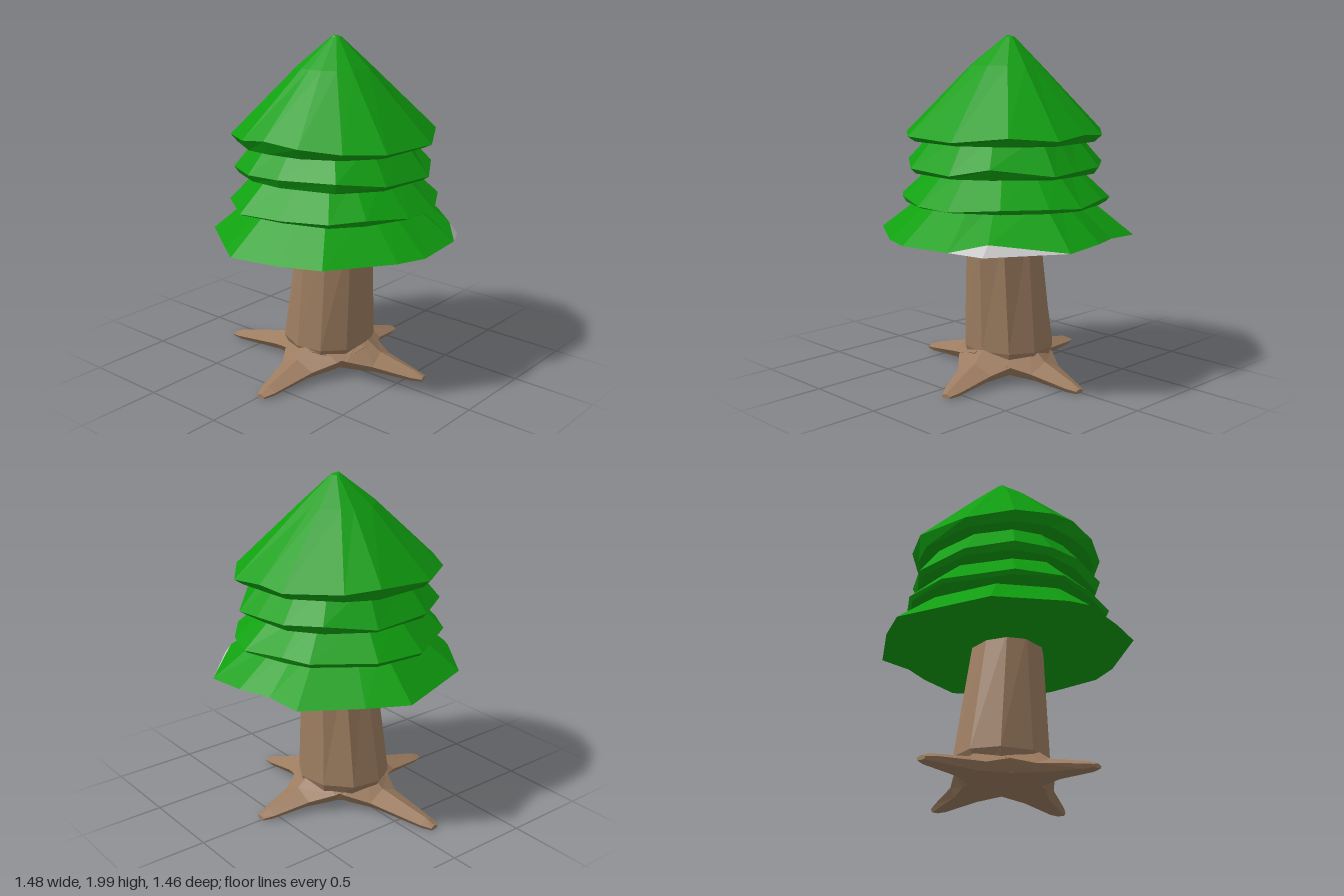
import * as THREE from 'three';

const material = (color) => new THREE.MeshStandardMaterial({ color, flatShading: true });
const green = material(0x10a010), brown = material(0x9c7c60), grey = material(0xcccccc);
grey.side = THREE.DoubleSide;

function facets(name, triangles, mat) {
  const geometry = new THREE.BufferGeometry();
  geometry.setAttribute('position', new THREE.Float32BufferAttribute(triangles.flat(), 3));
  geometry.computeVertexNormals();
  const mesh = new THREE.Mesh(geometry, mat);
  mesh.name = name;
  return mesh;
}

// Skin a stack of rings (equal point counts) and close both ends
function loft(name, rings, mat) {
  const tris = [], n = rings[0].length;
  const middle = (ring) => [0, 1, 2].map((k) => ring.reduce((s, p) => s + p[k], 0) / n);
  const first = rings[0], last = rings[rings.length - 1];
  const start = middle(first), end = middle(last);
  for (let i = 0; i < n; i++) {
    const j = (i + 1) % n;
    for (let r = 0; r + 1 < rings.length; r++) {
      const a = rings[r], b = rings[r + 1];
      tris.push(a[i], b[i], a[j], b[i], b[j], a[j]);
    }
    tris.push(start, first[i], first[j], end, last[j], last[i]);
  }
  return facets(name, tris, mat);
}

// Copy of a ring, shrunk towards the trunk axis at a given height
const shrink = (ring, s, y, dx = 0) => ring.map(([x, , z]) => [x * s + dx, y, z * s]);

// Rim outlines as [x, y, z], running from +x round through +z
const rim1 = [[.72, .88, 0], [.735, .865, .25], [.42, .91, .55], [.26, .865, .69], [-.07, .86, .725],
  [-.25, .865, .67], [-.6, .87, .44], [-.68, .86, .2], [-.74, .858, -.1], [-.68, .87, -.2],
  [-.44, .865, -.54], [.1, .865, -.73], [.33, .87, -.62], [.63, .865, -.41], [.65, .875, -.19]];
const rim2 = [[.64, 1.07, .06], [.58, 1.08, .25], [.42, 1.08, .46], [.17, 1.06, .61], [-.07, 1.065, .61],
  [-.32, 1.09, .51], [-.48, 1.08, .38], [-.57, 1.07, .12], [-.61, 1.065, -.15], [-.46, 1.08, -.38],
  [-.1, 1.075, -.59], [.2, 1.08, -.57], [.5, 1.08, -.35], [.57, 1.09, -.2]];
const rim3 = [[.57, 1.26, .03], [.575, 1.25, .2], [.34, 1.29, .46], [.15, 1.25, .58], [-.2, 1.26, .55],
  [-.42, 1.29, .38], [-.53, 1.28, .06], [-.53, 1.27, -.16], [-.44, 1.27, -.36],
  [-.2, 1.26, -.51], [.17, 1.25, -.53], [.42, 1.28, -.37], [.55, 1.27, -.19]];
const rim4 = [[.58, 1.46, -.02], [.6, 1.44, .2], [.44, 1.46, .42], [.17, 1.43, .58], [-.21, 1.44, .56],
  [-.4, 1.45, .41], [-.52, 1.47, .2], [-.56, 1.49, -.01], [-.56, 1.47, -.17], [-.45, 1.46, -.37],
  [-.21, 1.45, -.52], [.16, 1.48, -.54], [.34, 1.46, -.45], [.56, 1.45, -.2]];

// Trunk ring with separate reach to each side
function trunkRing(y, left, right, front, back) {
  return Array.from({ length: 10 }, (_, i) => {
    const a = (i + 0.25) / 10 * Math.PI * 2, c = Math.cos(a), s = Math.sin(a);
    return [c * (c > 0 ? left : right), y, s * (s > 0 ? front : back)];
  });
}

// Root: five-sided sections tapering from the trunk to a blunt tip
function root(name, x, z, reach) {
  const dx = x / Math.hypot(x, z), dz = z / Math.hypot(x, z);
  const section = (t, half, top, mid, bottom) =>
    [[0, top], [half, mid], [half * .7, bottom], [-half * .7, bottom], [-half, mid]]
      .map(([w, y]) => [dx * t + dz * w, y, dz * t - dx * w]);
  return loft(name, [
    section(0, .26, .27, .17, .05),
    section(.2, .2, .22, .12, .05),
    section(.33, .115, .13, .08, .035),
    section(reach - .06, .055, .06, .035, .01),
    section(reach, .03, .035, .025, .01),
  ], brown);
}

export function createModel() {
  const tree = new THREE.Group();
  tree.name = 'tree';

  // Trunk and roots
  tree.add(loft('trunk', [
    trunkRing(.06, .24, .22, .2, .24),
    trunkRing(.18, .28, .265, .24, .31),
    trunkRing(.9, .225, .205, .25, .18),
  ], brown));
  tree.add(
    root('leftRoot', .6, .01, .6),
    root('rightRoot', -.65, .02, .65),
    root('frontRoot', .13, .59, .61),
    root('backRoot', -.12, -.7, .72),
  );

  // Lowest tier: open skirt over a flat underside, with a grey facet at the front left
  const notch = [.43, .848, .6];
  const under = rim1.map((p, i) => (i === 2 ? notch : p));
  const underside = [], skirt = [], inner = shrink(rim1, .6, 1.1);
  rim1.forEach((p, i) => {
    const j = (i + 1) % rim1.length;
    underside.push([0, .85, 0], under[i], under[j]);
    skirt.push(p, inner[i], rim1[j], inner[i], inner[j], rim1[j]);
  });
  tree.add(
    facets('lowestTier', skirt, green),
    facets('lowestTierUnderside', underside, green),
    facets('greyFacet', [rim1[1], rim1[2], notch, rim1[2], rim1[3], notch], grey),
  );

  // Upper tiers
  tree.add(
    loft('secondTier', [shrink(rim2, .97, 1.055), rim2, shrink(rim2, .66, 1.27)], green),
    loft('thirdTier', [shrink(rim3, .95, 1.23), rim3, shrink(rim3, .72, 1.46)], green),
    loft('topTier', [shrink(rim4, .93, 1.41), rim4, shrink(rim4, .36, 1.83, .01),
      shrink(rim4, .05, 1.99, .035), shrink(rim4, .01, 2, .02)], green),
  );
  return tree;
}
